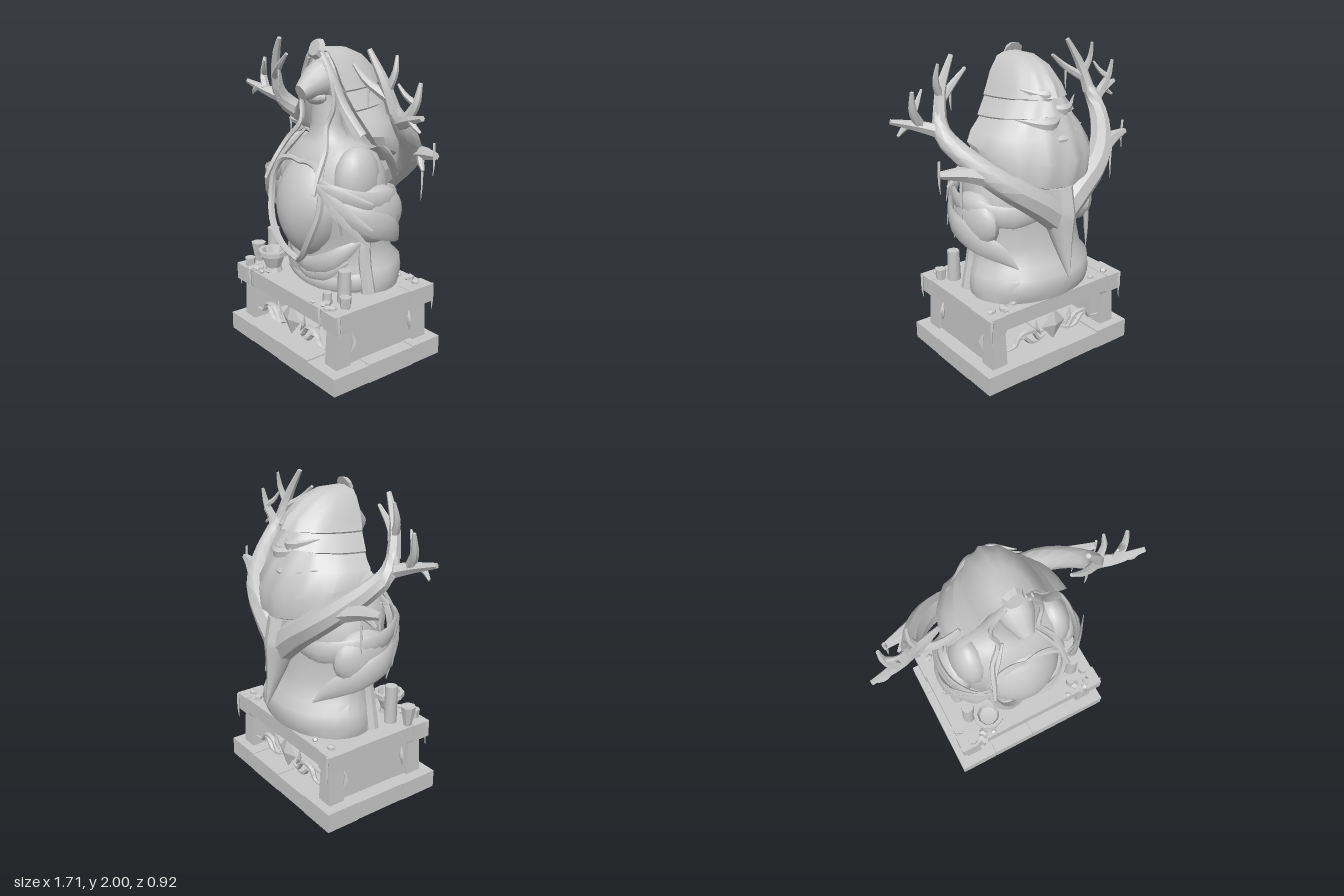
import * as THREE from 'three';
import { toCreasedNormals } from 'three/addons/utils/BufferGeometryUtils.js';

const V = (p) => new THREE.Vector3(...p);
const flip = (p) => [-p[0], p[1], p[2]];

export function createModel() {
  const model = new THREE.Group();
  const stone = new THREE.MeshStandardMaterial({ color: 0xc8c8c8, side: THREE.DoubleSide });
  stone.name = 'stone';

  const add = (name, geo, parent = model, crease = 0.75) => {
    const mesh = new THREE.Mesh(toCreasedNormals(geo, crease), stone);
    mesh.name = name;
    parent.add(mesh);
    return mesh;
  };
  const group = (name) => {
    const g = new THREE.Group();
    g.name = name;
    model.add(g);
    return g;
  };
  const box = (name, x0, x1, y0, y1, z0, z1, parent) => {
    const g = new THREE.BoxGeometry(x1 - x0, y1 - y0, z1 - z0);
    g.translate((x0 + x1) / 2, (y0 + y1) / 2, (z0 + z1) / 2);
    return add(name, g, parent);
  };
  const ball = (name, c, r, parent, seg = 16) => {
    const g = new THREE.SphereGeometry(1, seg, Math.ceil(seg * 0.7));
    g.scale(...r).translate(...c);
    return add(name, g, parent);
  };

  // Skin a list of equal-length rings of points
  const skin = (rings, closed = true) => {
    const n = rings[0].length, pos = rings.flat().flatMap((p) => [p.x, p.y, p.z]), idx = [];
    for (let i = 0; i < rings.length - 1; i++)
      for (let j = 0; j < (closed ? n : n - 1); j++) {
        const a = i * n + j, b = i * n + ((j + 1) % n), c = a + n, d = b + n;
        idx.push(a, b, d, a, d, c);
      }
    const g = new THREE.BufferGeometry();
    g.setAttribute('position', new THREE.Float32BufferAttribute(pos, 3));
    g.setIndex(idx);
    return g;
  };

  // Tapered limb or flat band along a smooth path; widths run from start to end
  const sweep = (name, pts, widths, parent, { flat = 1, sides = 7, steps = 12, ref = [0, 1, 0] } = {}) => {
    const curve = new THREE.CatmullRomCurve3(pts.map(V)), rings = [];
    for (let i = 0; i <= steps; i++) {
      const t = i / steps, c = curve.getPoint(t), T = curve.getTangent(t);
      const f = t * (widths.length - 1), k = Math.min(Math.floor(f), widths.length - 2);
      const w = THREE.MathUtils.lerp(widths[k], widths[k + 1], f - k);
      const S = new THREE.Vector3().crossVectors(V(ref), T).normalize();
      const N = new THREE.Vector3().crossVectors(T, S).normalize();
      const ring = Array.from({ length: sides }, (_, j) => {
        const a = (j / sides) * Math.PI * 2;
        return c.clone().addScaledVector(N, Math.cos(a) * w).addScaledVector(S, Math.sin(a) * w * flat);
      });
      if (i === 0) rings.push(ring.map(() => c));
      rings.push(ring);
      if (i === steps) rings.push(ring.map(() => c));
    }
    return add(name, skin(rings), parent);
  };
  const mirrored = (name, pts, widths, parent, opt) => {
    sweep(name, pts, widths, parent, opt);
    sweep(name, pts.map(flip), widths, parent, opt);
  };

  // Plinth of stone blocks around a core
  const plinth = group('plinth');
  const bx = [-0.57, -0.31, -0.01, 0.3, 0.57], bz = [-0.4, -0.17, 0.19, 0.46];
  for (let i = 0; i < 4; i++)
    for (let k = 0; k < 3; k++)
      box('plinthBlock', bx[i] + 0.001, bx[i + 1] - 0.001, 0.003 + ((i + k) % 2) * 0.004,
        0.13 - ((i * 2 + k) % 3) * 0.004, bz[k] + 0.001, bz[k + 1] - 0.001, plinth);

  // Altar table: slab, corner blocks, legs and side panels
  const altar = group('altar');
  box('slab', -0.525, 0.525, 0.385, 0.488, -0.355, 0.415, altar);
  for (const s of [-1, 1]) {
    const span = (a, b) => (s > 0 ? [a, b] : [-b, -a]);
    box('slabCorner', ...span(0.42, 0.535), 0.38, 0.492, 0.3, 0.425, altar);
    box('slabCorner', ...span(0.42, 0.535), 0.375, 0.492, -0.365, -0.17, altar);
    box('sidePanel', ...span(0.42, 0.475), 0.12, 0.39, -0.3, 0.35, altar);
    for (const z of [0.335, -0.285]) {
      const g = new THREE.CylinderGeometry(0.066, 0.078, 0.26, 4, 1);
      g.rotateY(Math.PI / 4).translate(s * 0.445, 0.255, z);
      add('leg', g, altar);
      const cap = new THREE.CylinderGeometry(0.082, 0.068, 0.04, 4);
      cap.rotateY(Math.PI / 4).translate(s * 0.445, 0.37, z);
      add('legCap', cap, altar);
      sweep('panelLeaf', [[s * 0.475, 0.33, z * 0.75], [s * 0.485, 0.27, z * 0.72], [s * 0.475, 0.19, z * 0.78]],
        [0.004, 0.025, 0.003], altar, { flat: 0.5, sides: 4, steps: 4, ref: [1, 0, 0] });
    }
  }

  // Diamond and scroll ornaments under the slab, front and back
  const ornament = group('ornament');
  for (const z of [0.36, -0.31]) {
    const d = new THREE.OctahedronGeometry(1);
    d.scale(0.095, 0.11, 0.03).translate(0, 0.265, z);
    add('diamond', d, ornament, 0.1);
    const o = { flat: 0.7, sides: 5, steps: 14, ref: [0, 0, 1] };
    mirrored('scroll', [[0.05, 0.22, z], [0.12, 0.2, z], [0.17, 0.27, z], [0.27, 0.27, z], [0.31, 0.21, z], [0.39, 0.2, z]],
      [0.005, 0.02, 0.02, 0.018, 0.006], ornament, o);
    mirrored('scrollLeaf', [[0.3, 0.24, z], [0.24, 0.25, z], [0.19, 0.2, z], [0.11, 0.18, z]],
      [0.006, 0.018, 0.02, 0.004], ornament, o);
    mirrored('scrollBud', [[0.1, 0.22, z], [0.13, 0.27, z], [0.14, 0.34, z]], [0.004, 0.018, 0.003], ornament, o);
  }

  // Robed body: y, half width, front z, back z
  const bodyRows = [
    [0.485, 0.42, 0.24, -0.36], [0.56, 0.43, 0.25, -0.385], [0.64, 0.415, 0.24, -0.375], [0.7, 0.375, 0.24, -0.32],
    [0.82, 0.365, 0.26, -0.28], [0.95, 0.39, 0.29, -0.275], [1.1, 0.4, 0.3, -0.265], [1.22, 0.38, 0.28, -0.25],
    [1.32, 0.33, 0.24, -0.2], [1.38, 0.24, 0.2, -0.13], [1.42, 0.14, 0.17, -0.05], [1.5, 0.1, 0.16, -0.02], [1.68, 0.095, 0.16, 0],
  ];
  const ringOf = ([y, rx, zf, zb]) => Array.from({ length: 28 }, (_, j) => {
    const a = (j / 28) * Math.PI * 2, zc = (zf + zb) / 2;
    const fold = y > 0.5 && y < 0.9 ? 1 + 0.025 * Math.sin(a * 6 + y * 9) : 1;
    return new THREE.Vector3(Math.sin(a) * rx * fold, y, zc + ((Math.cos(a) * (zf - zb)) / 2) * fold);
  });
  const bodyRings = bodyRows.map(ringOf);
  bodyRings.unshift(bodyRings[0].map(() => V([0, 0.485, 0])));
  add('robedBody', skin(bodyRings));

  // Shoulders, and cloth lobes over the arms
  for (const s of [-1, 1]) {
    ball('shoulder', [s * 0.28, 1.18, 0.06], [0.115, 0.215, 0.16]);
    ball('sleeve', [s * 0.37, 0.99, -0.01], [0.1, 0.18, 0.2]);
  }

  // Rounded breast, narrowing to a point at the bottom
  const breast = new THREE.SphereGeometry(1, 24, 18), bp = breast.attributes.position;
  for (let i = 0; i < bp.count; i++) {
    const y = bp.getY(i), k = y < 0 ? 1 + 0.25 * y : 1;
    bp.setXYZ(i, bp.getX(i) * 0.28 * k, 1.0 + y * 0.34, 0.14 + bp.getZ(i) * 0.255 - 0.02 * y);
  }
  add('breast', breast, model, 1);

  // Ridge framing the breast, and collar
  const drape = group('drapery');
  const ridge = { flat: 0.9, sides: 6, steps: 20, ref: [0, 0, 1] };
  mirrored('breastFrame', [[0, 0.65, 0.3], [0.11, 0.73, 0.34], [0.2, 0.87, 0.35], [0.25, 1.03, 0.32], [0.24, 1.18, 0.3], [0.18, 1.27, 0.28], [0.08, 1.29, 0.27], [0, 1.28, 0.28]],
    [0.02, 0.025, 0.024, 0.024, 0.02, 0.012], drape, ridge);
  mirrored('collar', [[0.24, 1.22, 0.3], [0.16, 1.36, 0.22], [0.1, 1.45, 0.16]], [0.018, 0.02, 0.01], drape, ridge);

  // Shawl bands fanning over the arms towards the back
  const band = { flat: 0.25, sides: 8, steps: 16 };
  mirrored('upperShawl', [[0.25, 1.22, 0.32], [0.34, 1.16, 0.28], [0.43, 1.1, 0.12], [0.43, 1.08, -0.08], [0.27, 1.04, -0.24], [0.05, 1.04, -0.275]],
    [0.02, 0.05, 0.06, 0.06, 0.07, 0.04], drape, band);
  mirrored('lowerShawl', [[0.25, 1.18, 0.33], [0.37, 1.06, 0.25], [0.47, 0.97, 0.1], [0.45, 0.9, -0.08], [0.35, 0.82, -0.21], [0.27, 0.73, -0.3]],
    [0.02, 0.05, 0.08, 0.08, 0.06, 0.005], drape, band);
  const frill = { flat: 0.35, sides: 5, steps: 8 };
  for (const [end, w] of [[[0.5, 1.1, 0.12], 0.035], [[0.5, 0.94, 0.12], 0.04], [[0.45, 0.84, 0.12], 0.035], [[0.36, 0.9, 0.24], 0.03]])
    mirrored('shawlFold', [[0.26, 1.2, 0.34], [0.36, (1.24 + end[1]) / 2, 0.28], end], [0.012, w, 0.008], drape, frill);
  mirrored('sideFold', [[0.35, 0.92, 0.04], [0.36, 0.72, 0.06], [0.4, 0.5, 0.06]], [0.03, 0.04, 0.045], drape, { ref: [0, 0, 1] });
  // Sash and pooled cloth around the hips
  const cloth = { flat: 0.35, sides: 6, steps: 14 };
  sweep('sash', [[-0.33, 0.8, 0.12], [-0.22, 0.7, 0.2], [0, 0.62, 0.255], [0.2, 0.68, 0.235], [0.29, 0.75, 0.17], [0.36, 0.84, 0.05]],
    [0.01, 0.035, 0.05, 0.06, 0.05, 0.01], drape, cloth);
  sweep('sashFold', [[-0.2, 0.63, 0.2], [0, 0.56, 0.25], [0.18, 0.6, 0.23], [0.31, 0.69, 0.15]], [0.005, 0.03, 0.045, 0.01], drape, cloth);
  sweep('hem', [[-0.41, 0.55, -0.1], [-0.34, 0.53, 0.12], [-0.1, 0.51, 0.23], [0.16, 0.52, 0.23], [0.36, 0.56, 0.1], [0.41, 0.56, -0.1]],
    [0.03, 0.03, 0.03, 0.04, 0.06, 0.03], drape, cloth);

  // Head with raised muzzle
  const head = group('head');
  ball('skull', [0, 1.77, 0.06], [0.13, 0.15, 0.12], head);
  sweep('muzzle', [[0, 1.78, 0.06], [0, 1.74, 0.16], [0, 1.695, 0.262]], [0.13, 0.105, 0.05], head, { flat: 0.95, sides: 12, steps: 6 });
  ball('jaw', [0, 1.665, 0.145], [0.085, 0.05, 0.07], head, 10);
  ball('nose', [0, 1.725, 0.258], [0.022, 0.014, 0.014], head, 8);

  // Hood of hair: half width, front y and z, back y and z
  const hair = group('hair');
  const hairRows = [
    [0.02, 1.955, 0.14, 1.955, 0.1], [0.1, 1.93, 0.13, 1.945, -0.06], [0.16, 1.85, 0.12, 1.9, -0.17], [0.2, 1.76, 0.11, 1.81, -0.27],
    [0.225, 1.72, 0.1, 1.74, -0.31], [0.22, 1.71, 0.1, 1.73, -0.27], [0.285, 1.61, 0.08, 1.64, -0.33], [0.28, 1.6, 0.07, 1.63, -0.29],
    [0.35, 1.53, 0.06, 1.52, -0.35], [0.39, 1.47, 0.04, 1.37, -0.42], [0.37, 1.4, -0.02, 1.23, -0.41], [0.29, 1.37, -0.02, 1.2, -0.34], [0.12, 1.4, 0.0, 1.22, -0.16],
  ];
  add('hood', skin(hairRows.map(([rx, yf, zf, yb, zb]) => Array.from({ length: 21 }, (_, j) => {
    const a = (j / 20 - 0.5) * Math.PI, c = Math.cos(a), wave = 1 + 0.025 * Math.sin(j * 2.1 + yf * 14);
    return new THREE.Vector3(rx * Math.sin(a), yf + (yb - yf) * c, zf + (zb - zf) * Math.pow(c, 0.85) * wave);
  })), false), hair);
  // Folded inner sides of the hood, turned in towards the neck
  for (const s of [-1, 1])
    add('hoodLining', skin(hairRows.slice(1, 11).map(([rx, yf, zf]) => [1, 0.82, 0.68, 0.5].map((k, j) =>
      new THREE.Vector3(s * rx * k, yf, zf - [0, 0.01, 0.05, 0.08][j]))), false), hair);
  // Side locks, braids and layered locks at the back
  const lock = { flat: 0.35, sides: 6, ref: [0, 0, 1] };
  mirrored('frontLock', [[0.05, 1.93, 0.14], [0.13, 1.82, 0.13], [0.2, 1.65, 0.1], [0.33, 1.47, 0.05]], [0.015, 0.02, 0.025, 0.03], hair, lock);
  mirrored('innerLock', [[0.09, 1.9, 0.14], [0.155, 1.75, 0.12], [0.16, 1.62, 0.07], [0.22, 1.42, 0.0]], [0.015, 0.03, 0.04, 0.03], hair, lock);
  mirrored('braid', [[0.07, 1.89, 0.15], [0.14, 1.76, 0.14], [0.16, 1.62, 0.14], [0.13, 1.5, 0.17], [0.2, 1.38, 0.23], [0.23, 1.25, 0.31], [0.25, 1.14, 0.36]],
    [0.01, 0.014, 0.016, 0.016, 0.018, 0.014], hair, { sides: 5, steps: 20, ref: [0, 0, 1] });
  mirrored('trailingLock', [[0.33, 1.46, 0.0], [0.34, 1.36, -0.1], [0.31, 1.24, -0.2], [0.26, 1.12, -0.26]], [0.02, 0.045, 0.04, 0.005], hair, { flat: 0.5, ref: [1, 0, 0] });
  for (const [x, y, z, w] of [[0.04, 1.76, -0.28, 0.13], [-0.06, 1.67, -0.31, 0.16], [0.05, 1.6, -0.32, 0.18], [-0.03, 1.5, -0.345, 0.22]])
    sweep('backLock', [[x - w, y + 0.04, z + 0.1], [x, y - 0.01, z], [x + w, y + 0.03, z + 0.1]], [0.004, 0.035, 0.004], hair, { flat: 0.6, sides: 5 });

  // Forehead medallion
  const medal = new THREE.CylinderGeometry(0.05, 0.066, 0.03, 9);
  medal.rotateX(Math.PI / 2 - 0.35).translate(-0.015, 1.945, 0.135);
  add('medallion', medal, hair, 0.3);

  // Branching antlers growing from a spine at the back
  const antlers = group('antlers');
  const wood = { sides: 8, steps: 12, ref: [0.2, 0.1, 1] };
  sweep('spine', [[0, 0.65, -0.455], [0, 0.85, -0.39], [0, 1.03, -0.345], [0, 1.2, -0.31]], [0.006, 0.065, 0.12, 0.12], antlers, { ...wood, flat: 0.7 });
  mirrored('mainBeam', [[0, 1.02, -0.33], [0.16, 1.15, -0.32], [0.35, 1.28, -0.28], [0.49, 1.41, -0.17], [0.585, 1.56, -0.01], [0.565, 1.67, 0.05]],
    [0.1, 0.095, 0.08, 0.068, 0.055, 0.036], antlers, wood);
  const tines = [
    [[0.42, 1.33, -0.24], [0.57, 1.37, -0.19], [0.71, 1.385, -0.16], 0.06],
    [[0.56, 1.37, -0.19], [0.6, 1.33, -0.15], [0.64, 1.29, -0.13], 0.028],
    [[0.575, 1.57, 0.0], [0.69, 1.61, 0.06], [0.85, 1.655, 0.1], 0.045],
    [[0.69, 1.62, 0.06], [0.74, 1.71, 0.04], [0.75, 1.82, 0.02], 0.032],
    [[0.73, 1.71, 0.04], [0.69, 1.75, 0.07], [0.65, 1.81, 0.09], 0.02],
    [[0.74, 1.63, 0.08], [0.78, 1.6, 0.09], [0.82, 1.57, 0.08], 0.022],
    [[0.57, 1.64, 0.04], [0.53, 1.8, 0.08], [0.435, 1.975, 0.11], 0.042],
    [[0.54, 1.75, 0.07], [0.58, 1.85, 0.05], [0.575, 1.95, 0.03], 0.026],
    [[0.55, 1.72, 0.07], [0.43, 1.8, 0.12], [0.33, 1.885, 0.13], 0.03],
  ];
  for (const [a, b, c, w] of tines) mirrored('tine', [a, b, c], [w, w * 0.75, w * 0.35], antlers, { ...wood, sides: 6, steps: 5 });

  // Hanging strands on antlers and table edge
  const moss = group('hangingMoss');
  const strand = (x, y, z, len) => sweep('strand', [[x, y, z], [x + 0.006, y - len / 2, z], [x, y - len, z]],
    [0.01, 0.01, 0.002], moss, { sides: 4, steps: 3, ref: [0, 0, 1] });
  for (const s of [-1, 1]) {
    for (const [x, y, z, len] of [[0.7, 1.46, -0.15, 0.19], [0.58, 1.35, -0.18, 0.26], [0.44, 1.8, 0.12, 0.15]]) strand(s * x, y, z, len);
    for (const [x, z, len] of [[0.535, 0.4, 0.16], [0.38, 0.425, 0.14], [0.52, -0.37, 0.18]]) strand(s * x, 0.49, z, len);
  }

  // Offerings: candles, bowl, cups and pebbles
  const gifts = group('offerings');
  const post = (name, x, z, r0, r1, y1, n = 9) => {
    const g = new THREE.CylinderGeometry(r1, r0, y1 - 0.485, n);
    add(name, g.translate(x, (y1 + 0.485) / 2, z), gifts);
  };
  post('candle', -0.39, 0.22, 0.042, 0.04, 0.74);
  post('candle', 0.39, 0.24, 0.045, 0.04, 0.69);
  post('candle', 0.34, 0.33, 0.03, 0.028, 0.56);
  const bowl = [[0, 0.49], [0.06, 0.49], [0.05, 0.52], [0.08, 0.6], [0.1, 0.605], [0.1, 0.635], [0.075, 0.635], [0.06, 0.59], [0, 0.58]];
  const bowlGeo = new THREE.LatheGeometry(bowl.map((p) => new THREE.Vector2(...p)), 9);
  add('bowl', bowlGeo.translate(-0.28, 0, 0.3), gifts, 0.4);
  post('cup', -0.49, 0.28, 0.025, 0.05, 0.62, 7);
  post('cup', -0.44, 0.38, 0.03, 0.036, 0.55, 7);
  post('cup', 0.46, 0.29, 0.03, 0.036, 0.56, 7);
  for (let i = 0; i < 14; i++) {
    const x = (i % 2 ? 1 : -1) * (0.27 + ((i * 37) % 22) / 100), z = i < 9 ? 0.36 + ((i * 13) % 5) / 100 : -0.31 + ((i * 7) % 4) / 100;
    const g = new THREE.DodecahedronGeometry(0.02 + (i % 3) * 0.006);
    add('pebble', g.scale(1.2, 0.7, 1).rotateY(i).translate(x, 0.5, z), gifts, 0.1);
  }
  return model;
}
